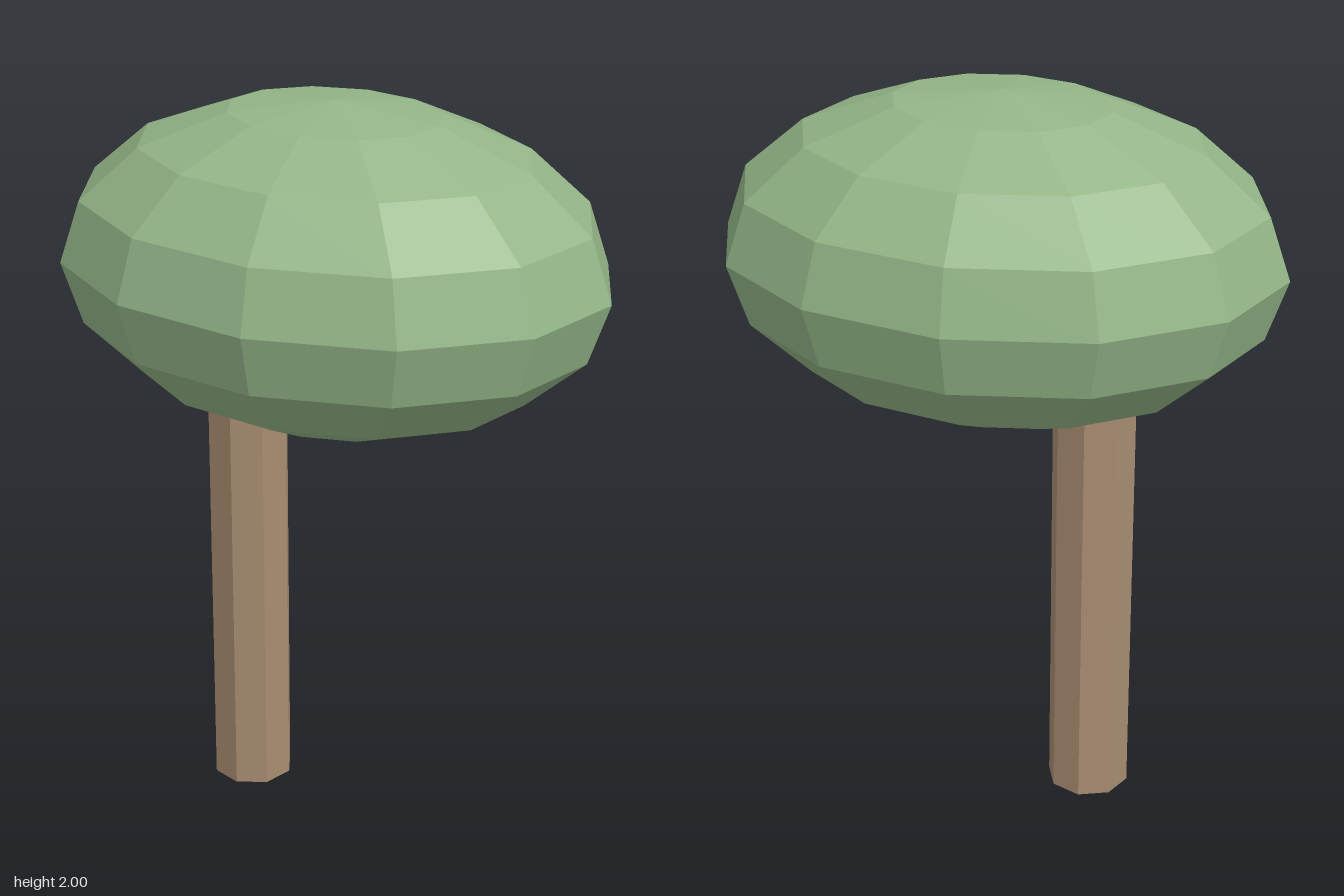
import * as THREE from 'three';

function part(name, geometry, material, x, y) {
  const mesh = new THREE.Mesh(geometry, material);
  mesh.name = name;
  mesh.position.set(x, y, 0);
  return mesh;
}

export function createModel() {
  const leafGreen = new THREE.MeshStandardMaterial({ name: 'leaf green', color: 0x94b688, flatShading: true });
  const barkBrown = new THREE.MeshStandardMaterial({ name: 'bark brown', color: 0xa88c71, flatShading: true });

  const tree = new THREE.Group();
  tree.name = 'tree';

  // Canopy: a faceted ball stretched sideways and squashed in height
  const ball = new THREE.SphereGeometry(1, 12, 8).scale(0.747, 0.435, 0.56);
  tree.add(part('canopy', ball, leafGreen, 0, 1.565));

  // Trunk: straight eight-sided post, off-centre, reaching into the canopy
  const trunkHeight = 1.3;
  const post = new THREE.CylinderGeometry(0.112, 0.112, trunkHeight, 8);
  tree.add(part('trunk', post, barkBrown, -0.252, trunkHeight / 2));

  return tree;
}
